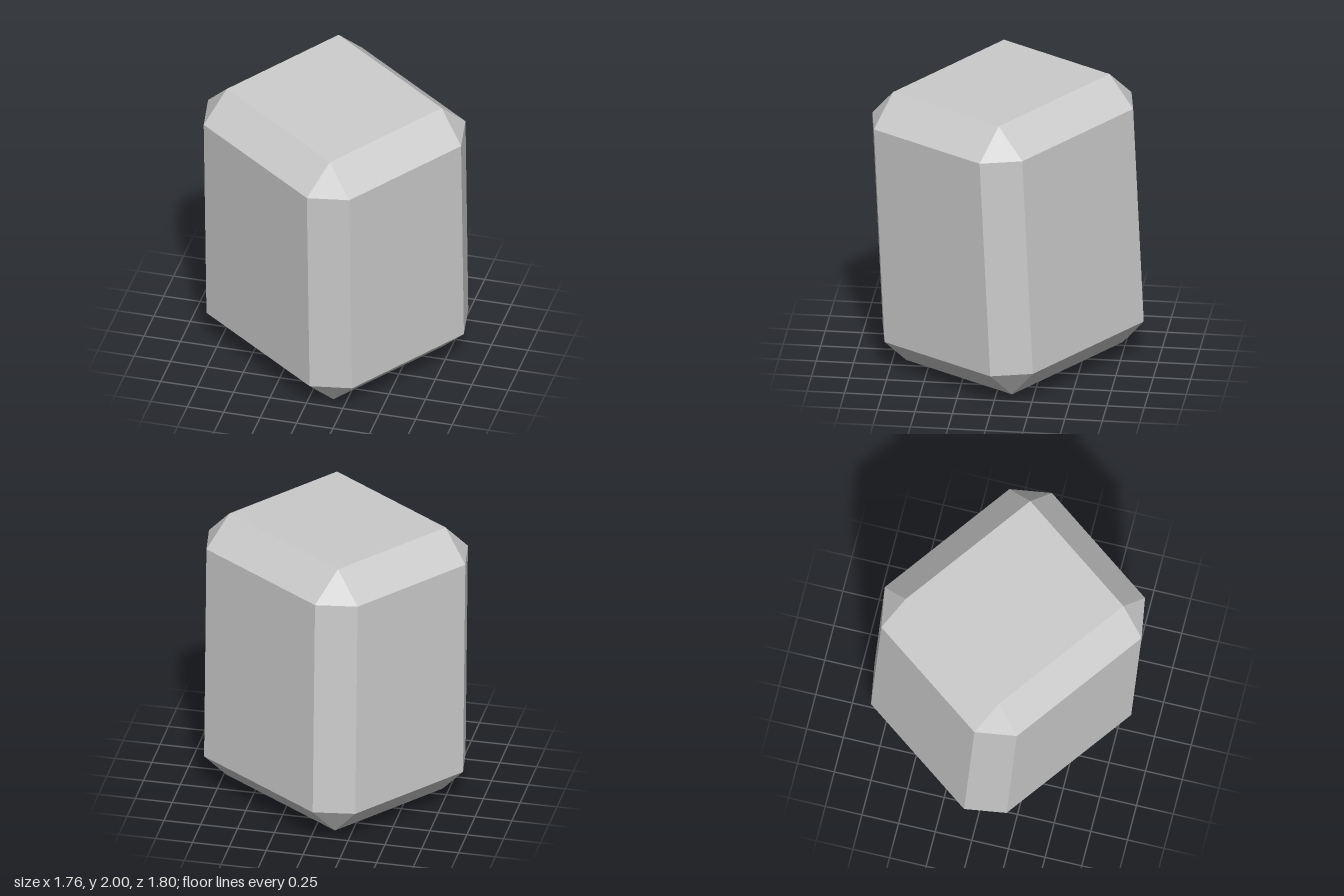
import * as THREE from 'three';
import { ConvexGeometry } from 'three/addons/geometries/ConvexGeometry.js';

// Box with every edge bevelled flat and every corner cut to a triangle
function chamferedBox(hx, hy, hz, c) {
  const points = [];
  for (const sx of [-1, 1]) for (const sy of [-1, 1]) for (const sz of [-1, 1]) {
    const x = hx - c, y = hy - c, z = hz - c;
    points.push(
      new THREE.Vector3(sx * hx, sy * y, sz * z),
      new THREE.Vector3(sx * x, sy * hy, sz * z),
      new THREE.Vector3(sx * x, sy * y, sz * hz)
    );
  }
  return new ConvexGeometry(points);
}

export function createModel() {
  const group = new THREE.Group();
  const material = new THREE.MeshStandardMaterial({ color: 0xcccccc, flatShading: true });

  // Single block, turned about its own axis and leaning slightly forward
  const block = new THREE.Mesh(chamferedBox(0.742, 0.968, 0.677, 0.2), material);
  block.name = 'chamferedBlock';
  block.rotation.set(0.046, -0.625, 0);
  block.position.y = 1;
  group.add(block);

  return group;
}
